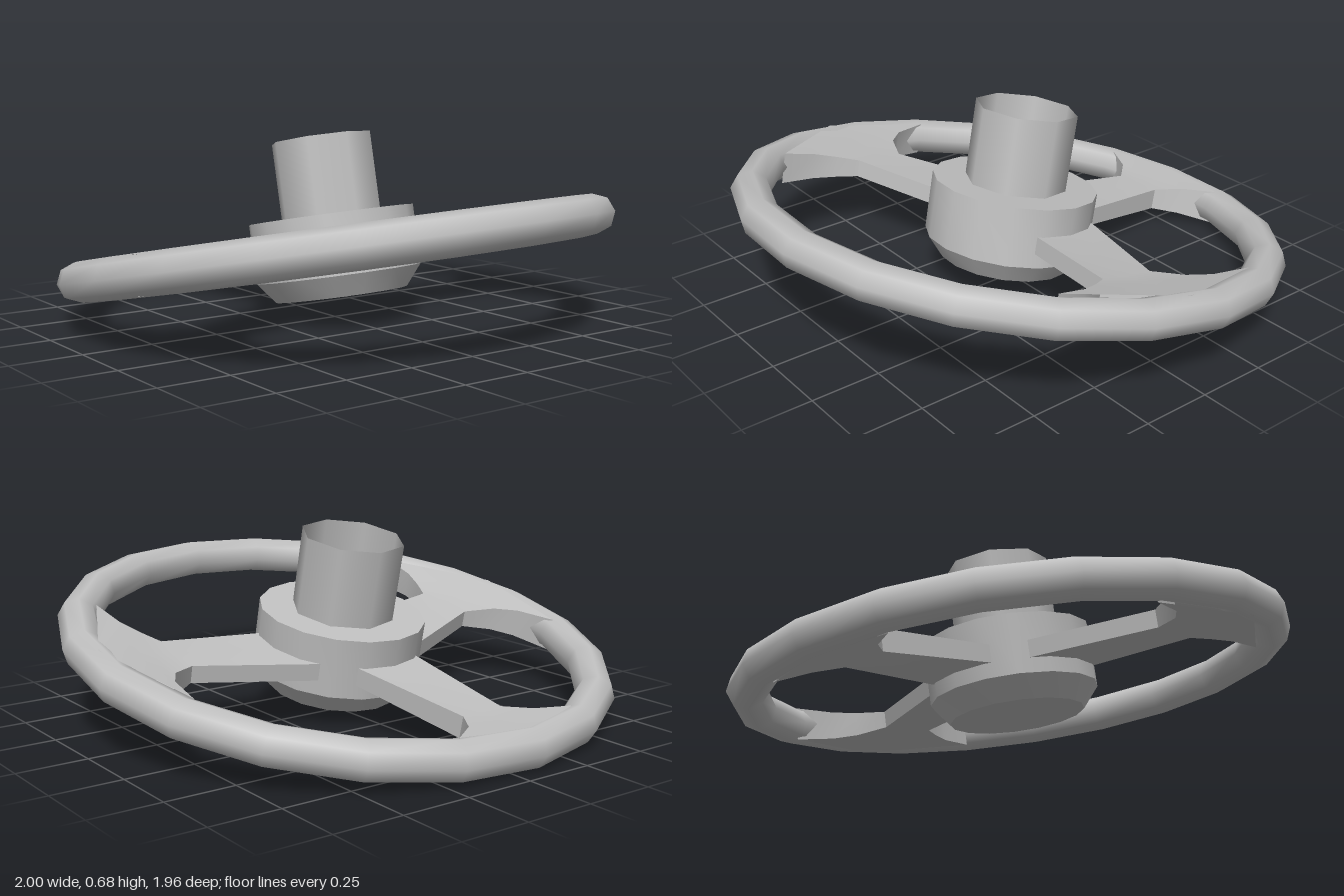
import * as THREE from 'three';
import { toCreasedNormals } from 'three/addons/utils/BufferGeometryUtils.js';

const metal = new THREE.MeshStandardMaterial({ color: 0xc0c0c0, side: THREE.DoubleSide });
metal.name = 'light grey';

const part = (name, geometry) => {
  const mesh = new THREE.Mesh(geometry, metal);
  mesh.name = name;
  return mesh;
};

// Spoke plates thicken from a slim arm into the rim.
const top = (r) => THREE.MathUtils.mapLinear(THREE.MathUtils.clamp(r, 0.66, 0.93), 0.66, 0.93, 0.02, 0.066);
const bottom = (r) => THREE.MathUtils.mapLinear(THREE.MathUtils.clamp(r, 0.66, 0.93), 0.66, 0.93, -0.042, -0.066);

// Each row is [edge, middle, edge] in the wheel plane, given as [x, z].
function spokeGeometry(rows) {
  const positions = [];
  const index = [];
  for (const row of rows) {
    for (const [x, z] of row) positions.push(x, top(Math.hypot(x, z)), z);
    for (const [x, z] of [...row].reverse()) positions.push(x, bottom(Math.hypot(x, z)), z);
  }
  for (let i = 0; i < rows.length - 1; i++) {
    for (let j = 0; j < 6; j++) {
      const a = i * 6 + j;
      const b = i * 6 + (j + 1) % 6;
      index.push(a, b, a + 6, b, b + 6, a + 6);
    }
  }
  const geometry = new THREE.BufferGeometry();
  geometry.setAttribute('position', new THREE.Float32BufferAttribute(positions, 3));
  geometry.setIndex(index);
  return toCreasedNormals(geometry, 0.6);
}

export function createModel() {
  const model = new THREE.Group();
  model.name = 'steeringWheel';

  // The whole wheel leans back and is turned slightly.
  const wheel = new THREE.Group();
  wheel.name = 'tiltedWheel';
  wheel.rotation.set(THREE.MathUtils.degToRad(-11.5), THREE.MathUtils.degToRad(5.4), 0, 'YXZ');
  wheel.position.y = 0.255;
  model.add(wheel);

  // Rim
  wheel.add(part('rim', new THREE.TorusGeometry(0.932, 0.07, 8, 20).rotateX(-Math.PI / 2)));

  // Hub with a chamfered underside
  const hubProfile = [[0, -0.17], [0.24, -0.17], [0.3, -0.095], [0.3, 0.12], [0, 0.12]]
    .map(([r, y]) => new THREE.Vector2(r, y));
  wheel.add(part('hub', toCreasedNormals(new THREE.LatheGeometry(hubProfile, 16), 0.5)));

  // Open column sleeve
  const column = part('columnSleeve', new THREE.CylinderGeometry(0.185, 0.185, 0.28, 8, 1, true));
  column.position.y = 0.26;
  column.rotation.y = THREE.MathUtils.degToRad(-10);
  wheel.add(column);

  // Side spokes, mirrored
  const side = [
    [[0.2, -0.19], [0.2, -0.03], [0.2, 0.12]],
    [[0.654, -0.01], [0.645, 0.1], [0.634, 0.204]],
    [[0.76, -0.065], [0.735, 0.105], [0.67, 0.28]],
    [[0.815, -0.14], [0.81, 0.115], [0.7, 0.365]],
    [[0.85, -0.29], [0.93, 0.13], [0.71, 0.5]],
  ];
  wheel.add(part('leftSpoke', spokeGeometry(side)));
  wheel.add(part('rightSpoke', spokeGeometry(
    side.map((row) => row.map(([x, z]) => [-x, z]).reverse()))));

  // Back spoke: distance from centre, half width, distance at the middle
  const back = [[0.2, 0.145, 0.2], [0.715, 0.09, 0.715], [0.8, 0.157, 0.81], [0.865, 0.27, 0.93]]
    .map(([d, w, m]) => [[-w, -d], [0, -m], [w, -d]]);
  wheel.add(part('backSpoke', spokeGeometry(back)));

  return model;
}
